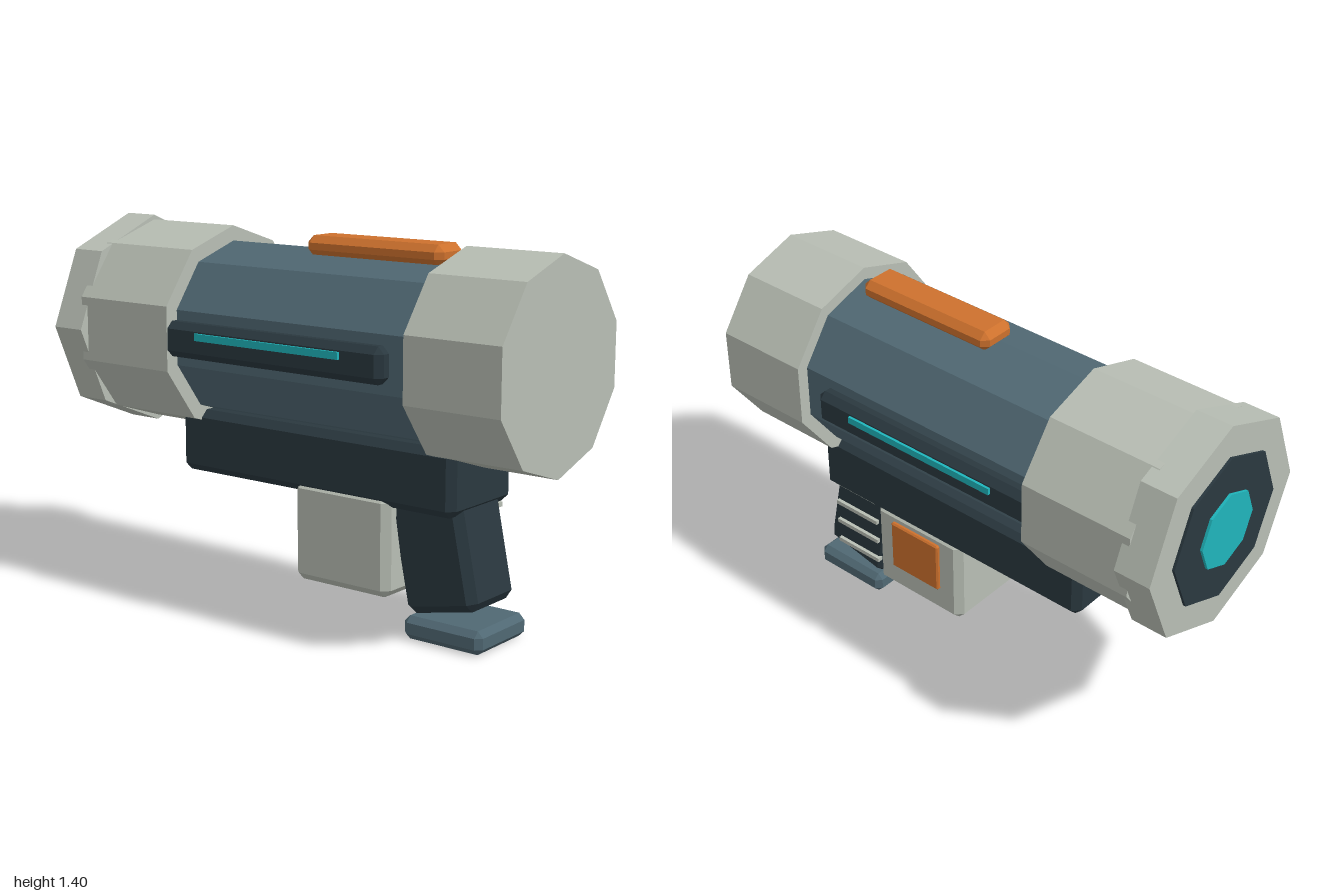
import * as THREE from 'three';
import { ConvexGeometry } from 'three/addons/geometries/ConvexGeometry.js';

const AXIS_Y = 1.0;

function material(name, color) {
  const m = new THREE.MeshStandardMaterial({ color, flatShading: true });
  m.name = name;
  return m;
}

// Box with every edge cut by a flat chamfer, centred on its origin
function chamferBox(w, h, d, c) {
  const pts = [];
  for (const sx of [-1, 1]) for (const sy of [-1, 1]) for (const sz of [-1, 1]) {
    const x = w / 2, y = h / 2, z = d / 2;
    pts.push(
      new THREE.Vector3(sx * x, sy * (y - c), sz * (z - c)),
      new THREE.Vector3(sx * (x - c), sy * y, sz * (z - c)),
      new THREE.Vector3(sx * (x - c), sy * (y - c), sz * z));
  }
  return new ConvexGeometry(pts);
}

export function createModel() {
  const model = new THREE.Group();
  const pale = material('pale grey', 0xb8beb4);
  const slate = material('slate blue', 0x506873);
  const dark = material('dark slate', 0x2a383f);
  const orange = material('orange', 0xcd712d);
  const teal = material('teal', 0x1fb5bb);

  function add(name, geometry, mat, x, y, z, parent = model) {
    const mesh = new THREE.Mesh(geometry, mat);
    mesh.name = name;
    mesh.position.set(x, y, z);
    parent.add(mesh);
    return mesh;
  }

  // Faceted drum along z, with a corner pointing down
  function drum(name, mat, radius, sides, z0, z1) {
    const g = new THREE.CylinderGeometry(radius, radius, z1 - z0, sides).rotateX(Math.PI / 2);
    return add(name, g, mat, 0, AXIS_Y, (z0 + z1) / 2);
  }

  // Chamfered block given by its limits
  function block(name, mat, [x0, x1], [y0, y1], [z0, z1], c) {
    return add(name, chamferBox(x1 - x0, y1 - y0, z1 - z0, c), mat,
      (x0 + x1) / 2, (y0 + y1) / 2, (z0 + z1) / 2);
  }

  // Barrel, from front cap to rear lens
  drum('frontCap', pale, 0.377, 10, 0.62, 1.0);
  drum('barrel', slate, 0.33, 10, -0.5, 0.68);
  drum('rearCollar', pale, 0.387, 10, -0.87, -0.43);
  drum('rearRing', pale, 0.405, 8, -0.98, -0.84);
  drum('rearDisc', dark, 0.285, 8, -0.99, -0.975);
  drum('rearLens', teal, 0.145, 8, -1.0, -0.985);

  // Side rails with glowing strips
  for (const s of [-1, 1]) {
    const side = s > 0 ? 'left' : 'right';
    add(side + 'Rail', chamferBox(0.09, 0.13, 1.03, 0.025), dark, s * 0.32, 1.0, 0.015);
    add(side + 'Strip', new THREE.BoxGeometry(0.02, 0.026, 0.65), teal, s * 0.365, 1.022, 0.035);
  }

  // Top sight and lower frame
  block('topSight', orange, [-0.077, 0.077], [1.305, 1.38], [-0.025, 0.565], 0.025);
  block('lowerFrame', dark, [-0.188, 0.188], [0.47, 0.71], [-0.54, 0.705], 0.028);

  // Power box with one side plate
  block('powerBox', pale, [-0.19, 0.19], [0.14, 0.512], [0.012, 0.435], 0.028);
  block('sidePlate', orange, [0.18, 0.205], [0.258, 0.468], [0.108, 0.342], 0.006);

  // Raked grip, ribs on one side, and foot
  const grip = add('grip', chamferBox(0.27, 0.46, 0.3, 0.03), dark, 0, 0.338, 0.575);
  grip.rotation.x = -0.205;
  for (const y of [0.462, 0.362, 0.27, 0.175]) {
    add('gripRib', new THREE.BoxGeometry(0.024, 0.017, 0.215), pale, 0.137, y, 0.582);
  }
  block('gripFoot', slate, [-0.153, 0.153], [0, 0.085], [0.475, 0.802], 0.022);

  return model;
}
